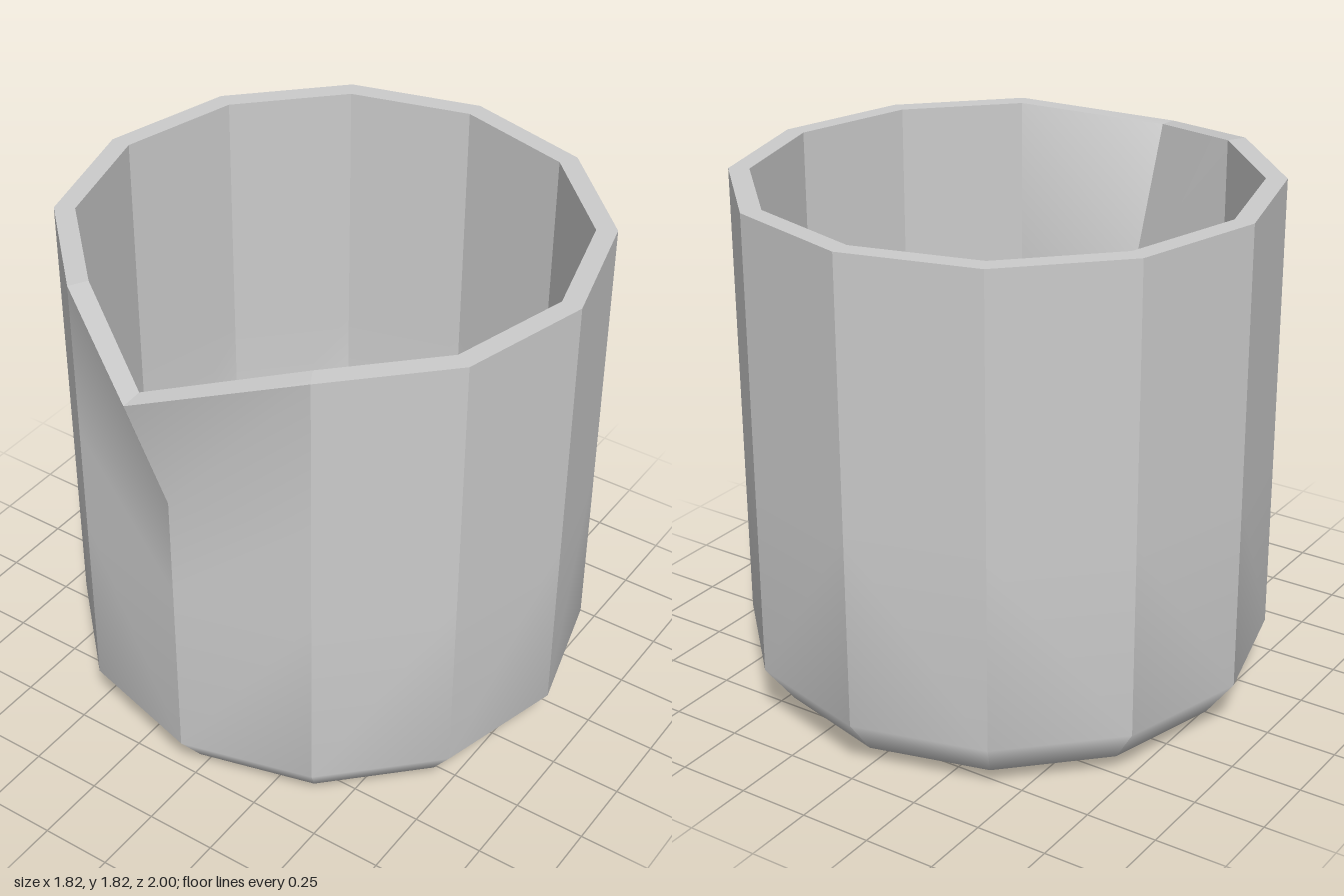
import * as THREE from 'three';
import { mergeGeometries } from 'three/addons/utils/BufferGeometryUtils.js';

const SIDES = 12;
const CENTER_Z = -0.09;

// Ring of points around the jug, starting at the front; tip replaces the front point.
function ring(radius, y, tip) {
  const points = [];
  for (let i = 0; i < SIDES; i++) {
    const a = (i / SIDES) * Math.PI * 2;
    points.push(new THREE.Vector3(Math.sin(a) * radius, y, Math.cos(a) * radius + CENTER_Z));
  }
  if (tip) points[0].set(0, tip[0], tip[1]);
  return points;
}

// Skin over rings: each column is smooth along its height, with sharp edges between columns.
function skin(rings, inward = false) {
  const columns = [];
  for (let i = 0; i < SIDES; i++) {
    const k = (i + 1) % SIDES;
    const points = rings.flatMap((r) => [r[i], r[k]]);
    const index = [];
    for (let j = 0; j < rings.length - 1; j++) {
      const a = 2 * j, b = a + 1, c = a + 2, d = a + 3;
      // Diagonals lean away from the spout on both sides
      const tris = i < SIDES / 2 ? [[a, b, d], [a, d, c]] : [[a, b, c], [b, d, c]];
      for (const [p, q, r] of tris) index.push(...(inward ? [p, r, q] : [p, q, r]));
    }
    const geo = new THREE.BufferGeometry().setFromPoints(points);
    geo.setIndex(index);
    geo.computeVertexNormals();
    columns.push(geo);
  }
  return mergeGeometries(columns);
}

export function createModel() {
  const group = new THREE.Group();
  const material = new THREE.MeshStandardMaterial({ color: 0xcccccc });
  const add = (name, geometry) => {
    const mesh = new THREE.Mesh(geometry, material);
    mesh.name = name;
    group.add(mesh);
    return mesh;
  };

  // Profiles from the base to the rim, with the spout tip pulled forward at the top
  const outer = [
    ring(0.665, 0), ring(0.81, 0.065), ring(0.91, 0.2),
    ring(0.91, 0.88), ring(0.91, 1.25), ring(0.91, 1.82, [1.735, 1.0]),
  ];
  const inner = [
    ring(0.66, 0.07), ring(0.745, 0.12), ring(0.84, 0.22),
    ring(0.84, 0.88), ring(0.84, 1.25), ring(0.84, 1.82, [1.74, 0.925]),
  ];

  add('outerWall', skin(outer));
  add('innerWall', skin(inner, true));

  // Flat rim joining both walls
  add('rim', skin([outer.at(-1), inner.at(-1)]));

  // Underside and inner floor
  const disc = (radius, turn) => new THREE.CircleGeometry(radius, SIDES).rotateX(turn);
  add('base', disc(0.665, Math.PI / 2)).position.set(0, 0, CENTER_Z);
  add('innerFloor', disc(0.66, -Math.PI / 2)).position.set(0, 0.07, CENTER_Z);

  return group;
}
